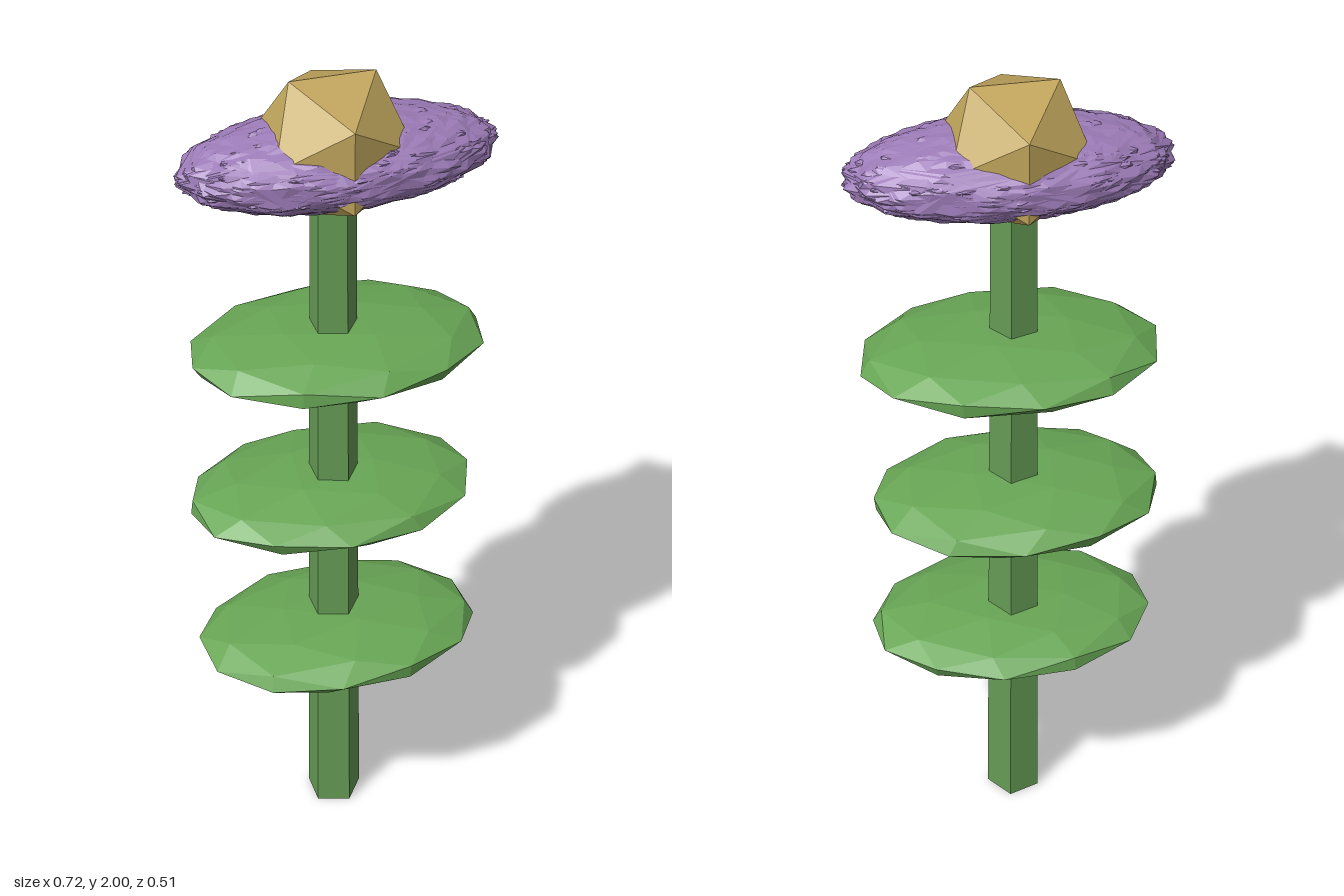
import * as THREE from 'three';

const CX = -0.012; // stem axis
const mat = (color) => new THREE.MeshStandardMaterial({ color, flatShading: true });

function add(group, name, geometry, material, x, y, z) {
  const mesh = new THREE.Mesh(geometry, material);
  mesh.name = name;
  mesh.position.set(x, y, z);
  group.add(mesh);
  return mesh;
}

export function createModel() {
  const model = new THREE.Group();
  model.name = 'flower';
  const stemMat = mat(0x659b55);
  const leafMat = mat(0x68a655);
  const petalMat = mat(0x9d7cb8);
  const goldMat = mat(0xc0a55c);

  // Tapered five-sided stem with one edge facing +x
  const stem = new THREE.CylinderGeometry(0.053, 0.068, 1.76, 5, 1, false, Math.PI / 2);
  add(model, 'stem', stem, stemMat, CX, 0.88, 0.003);

  // Three flat faceted leaf discs, each turned differently
  const leaves = [
    { y: 0.545, x: -0.008, z: 0.022, turn: 0.35 },
    { y: 0.942, x: -0.015, z: -0.008, turn: 1.5 },
    { y: 1.34, x: 0, z: -0.006, turn: 2.7 },
  ];
  for (const { y, x, z, turn } of leaves) {
    const leaf = new THREE.IcosahedronGeometry(1, 1);
    leaf.rotateX(0.3).rotateY(turn).scale(0.345, 0.064, 0.24);
    add(model, 'leaf', leaf, leafMat, x, y, z);
  }

  // Spiky blossom: turned icosahedra crossing inside one flattened ellipsoid
  const petals = new THREE.Group();
  petals.name = 'petals';
  const COUNT = 16;
  for (let i = 0; i < COUNT; i++) {
    const petal = new THREE.IcosahedronGeometry(1, i % 2);
    petal.rotateZ(i * 2.4).rotateY(i * 1.1).rotateX((i / COUNT) * Math.PI * 2);
    petal.scale(0.36, 0.1, 0.165);
    add(petals, 'petal', petal, petalMat, 0, 1.81, 0);
  }
  model.add(petals);

  // Golden centre
  add(model, 'flowerCentre', new THREE.IcosahedronGeometry(0.181, 0), goldMat, CX, 1.846, 0.002);

  return model;
}
